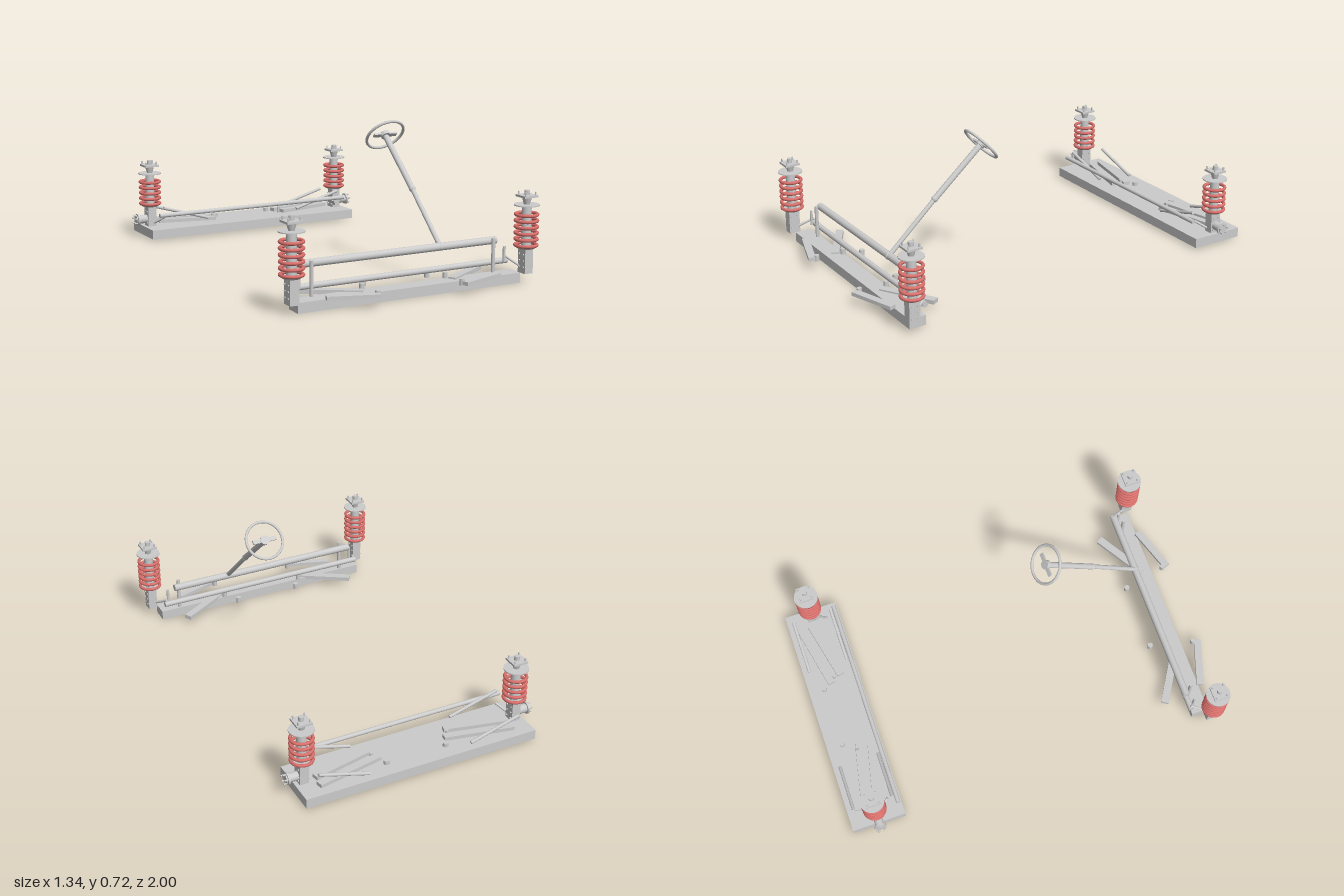
import * as THREE from 'three';

const grey = new THREE.MeshStandardMaterial({ color: 0xcccccc });
const red = new THREE.MeshStandardMaterial({ color: 0xd9706c });
const UP = new THREE.Vector3(0, 1, 0);

function add(parent, name, geometry, x = 0, y = 0, z = 0, material = grey) {
  const mesh = new THREE.Mesh(geometry, material);
  mesh.name = name;
  mesh.position.set(x, y, z);
  parent.add(mesh);
  return mesh;
}

const box = (parent, name, size, pos) => add(parent, name, new THREE.BoxGeometry(...size), ...pos);

const cyl = (parent, name, rTop, rBottom, h, pos, sides = 24) =>
  add(parent, name, new THREE.CylinderGeometry(rTop, rBottom, h, sides), ...pos);

// Round bar between two points
function rod(parent, name, a, b, r) {
  const p = new THREE.Vector3(...a), q = new THREE.Vector3(...b);
  const mid = p.clone().add(q).multiplyScalar(0.5);
  const mesh = cyl(parent, name, r, r, p.distanceTo(q), mid.toArray());
  mesh.quaternion.setFromUnitVectors(UP, q.sub(p).normalize());
  return mesh;
}

// Flat arm lying between two points of the ground plan
function flatArm(parent, name, [x1, z1], [x2, z2], y, width, thick) {
  const length = Math.hypot(x2 - x1, z2 - z1);
  const arm = box(parent, name, [length, thick, width], [(x1 + x2) / 2, y, (z1 + z2) / 2]);
  arm.rotation.y = -Math.atan2(z2 - z1, x2 - x1);
}

// Spring strut, built around its own axis; coils sets its height
function strut(name, coils) {
  const g = new THREE.Group();
  g.name = name;
  const gap = 0.029, seat = 0.178;
  const top = seat + (coils - 1) * gap + 0.045;
  box(g, 'knuckle', [0.045, 0.115, 0.056], [0, 0.1025, 0]);
  cyl(g, 'damperTube', 0.023, 0.023, top - 0.14, [0, (top + 0.14) / 2, 0]);
  cyl(g, 'lowerSpringSeat', 0.05, 0.04, 0.008, [0, seat - 0.012, 0]);
  for (let i = 0; i < coils; i++) {
    const ring = add(g, 'springCoil', new THREE.TorusGeometry(0.051, 0.008, 10, 36), 0, seat + i * gap, 0, red);
    ring.rotation.x = Math.PI / 2;
  }
  cyl(g, 'upperSpringSeat', 0.06, 0.06, 0.005, [0, top, 0], 36);
  cyl(g, 'bumpStop', 0.024, 0.014, 0.036, [0, top + 0.02, 0]);
  box(g, 'topMount', [0.076, 0.01, 0.076], [0, top + 0.042, 0]);
  cyl(g, 'topNut', 0.013, 0.013, 0.026, [0, top + 0.056, 0]);
  for (const sx of [-1, 1]) for (const sz of [-1, 1]) {
    cyl(g, 'mountStud', 0.004, 0.004, 0.02, [sx * 0.028, top + 0.053, sz * 0.028], 10);
  }
  // Clamp bolts through the knuckle
  for (const y of [0.075, 0.105, 0.135]) for (const z of [-0.016, 0.016]) {
    rod(g, 'clampBolt', [-0.028, y, z], [0.028, y, z], 0.004);
  }
  return g;
}

function frontSide(s) {
  const g = new THREE.Group();
  g.name = s > 0 ? 'frontLeftSuspension' : 'frontRightSuspension';
  const st = strut('frontStrut', 6);
  st.position.set(s * 0.612, 0, 0.895);
  g.add(st);
  flatArm(g, 'rearLowerArm', [s * 0.48, 0.7], [s * 0.235, 0.85], 0.046, 0.038, 0.02);
  flatArm(g, 'frontLowerArm', [s * 0.45, 0.905], [s * 0.22, 0.98], 0.057, 0.036, 0.018);
  cyl(g, 'armBolt', 0.012, 0.012, 0.03, [s * 0.22, 0.06, 0.815]);
  cyl(g, 'armBolt', 0.012, 0.012, 0.03, [s * 0.22, 0.06, 0.955]);
  cyl(g, 'mountBush', 0.013, 0.013, 0.03, [s * 0.17, 0.055, 0.738]);
  rod(g, 'supportPost', [s * 0.478, 0.045, 0.825], [s * 0.478, 0.21, 0.825], 0.009);
  rod(g, 'dropLink', [s * 0.54, 0.09, 0.825], [s * 0.54, 0.165, 0.825], 0.007);
  rod(g, 'tieRod', [s * 0.595, 0.075, 0.875], [s * 0.555, 0.115, 0.805], 0.006);
  return g;
}

function rearSide(s) {
  const g = new THREE.Group();
  g.name = s > 0 ? 'rearLeftSuspension' : 'rearRightSuspension';
  const st = strut('rearStrut', 5);
  st.position.set(s * 0.555, 0, -0.865);
  g.add(st);
  // Wheel hub with studs
  rod(g, 'hub', [s * 0.575, 0.095, -0.865], [s * 0.638, 0.095, -0.865], 0.022);
  rod(g, 'hubFlange', [s * 0.622, 0.095, -0.865], [s * 0.632, 0.095, -0.865], 0.03);
  for (let i = 0; i < 5; i++) {
    const a = i * Math.PI * 0.4;
    const y = 0.095 + 0.022 * Math.cos(a), z = -0.865 + 0.022 * Math.sin(a);
    rod(g, 'wheelStud', [s * 0.625, y, z], [s * 0.65, y, z], 0.004);
  }
  flatArm(g, 'rearLowerArm', [s * 0.508, -0.945], [s * 0.17, -0.875], 0.073, 0.036, 0.018);
  flatArm(g, 'middleLowerArm', [s * 0.5, -0.885], [s * 0.2, -0.818], 0.073, 0.036, 0.018);
  rod(g, 'rearLink', [s * 0.52, 0.145, -0.965], [s * 0.265, 0.07, -0.965], 0.008);
  rod(g, 'frontLink', [s * 0.52, 0.165, -0.765], [s * 0.265, 0.09, -0.765], 0.008);
  rod(g, 'toeRod', [s * 0.545, 0.075, -0.84], [s * 0.505, 0.11, -0.79], 0.006);
  cyl(g, 'mountBush', 0.013, 0.013, 0.025, [s * 0.155, 0.065, -0.92]);
  cyl(g, 'armBolt', 0.008, 0.008, 0.04, [s * 0.2, 0.07, -0.855]);
  return g;
}

function steering() {
  const g = new THREE.Group();
  g.name = 'steering';
  const x = 0.208;
  const low = [x, 0.19, 0.79], joint = [x, 0.42, 0.54], high = [x, 0.64, 0.287];
  rod(g, 'lowerColumn', low, joint, 0.011);
  rod(g, 'upperColumn', joint, high, 0.0145);
  add(g, 'columnJoint', new THREE.SphereGeometry(0.016, 20, 14), ...joint);
  add(g, 'columnFoot', new THREE.SphereGeometry(0.018, 20, 14), ...low);

  // Wheel, square to the column
  const wheel = new THREE.Group();
  wheel.name = 'steeringWheel';
  wheel.position.set(x, 0.643, 0.285);
  const axis = new THREE.Vector3(...high).sub(new THREE.Vector3(...joint)).normalize();
  wheel.quaternion.setFromUnitVectors(UP, axis);
  add(wheel, 'rim', new THREE.TorusGeometry(0.095, 0.007, 12, 56)).rotation.x = Math.PI / 2;
  cyl(wheel, 'wheelHub', 0.023, 0.023, 0.02, [0, 0, 0]);
  box(wheel, 'spoke', [0.124, 0.01, 0.02], [0, 0, 0]);
  g.add(wheel);
  return g;
}

export function createModel() {
  const model = new THREE.Group();
  model.name = 'suspensionAssembly';
  // Subframes
  box(model, 'frontSubframe', [1.164, 0.048, 0.086], [0, 0.024, 0.853]);
  box(model, 'rearSubframe', [1.194, 0.048, 0.272], [0, 0.034, -0.864]);
  // Cross bars
  const bar = (name, half, y, z, r) => rod(model, name, [-half, y, z], [half, y, z], r);
  bar('upperCrossBar', 0.515, 0.19, 0.787, 0.018);
  bar('steeringRack', 0.567, 0.092, 0.805, 0.014);
  bar('rearCrossBar', 0.55, 0.13, -0.745, 0.011);
  for (const s of [-1, 1]) model.add(frontSide(s), rearSide(s));
  model.add(steering());
  return model;
}
